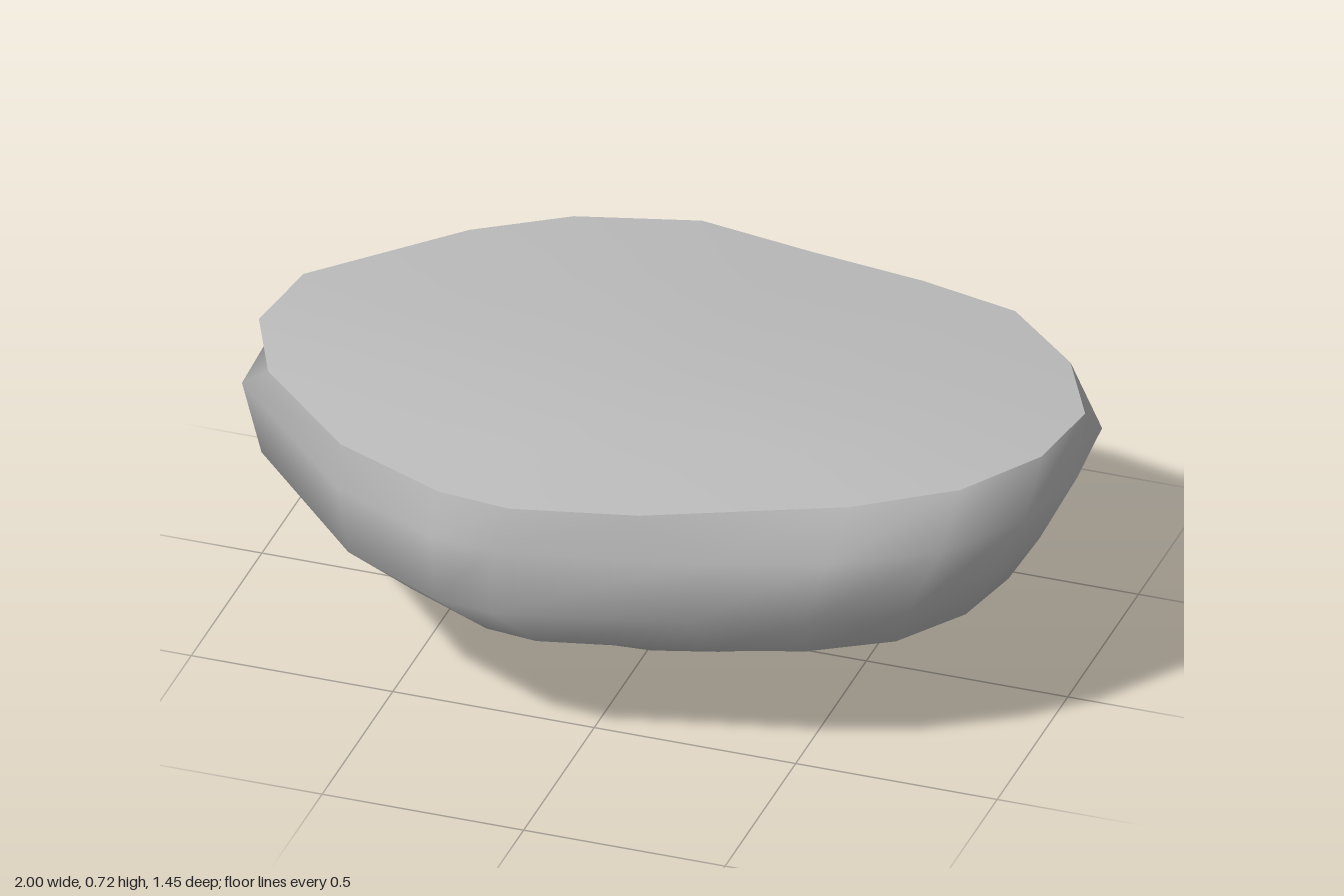
import * as THREE from 'three';

// Outlines as [x, z], running counter-clockwise seen from above
const RIM = [
  [0.98, -0.18], [0.87, -0.39], [0.67, -0.57], [0.42, -0.63], [0.13, -0.67], [-0.16, -0.72],
  [-0.45, -0.64], [-0.66, -0.5], [-0.96, -0.18], [-0.99, 0.05], [-0.89, 0.27], [-0.62, 0.53],
  [-0.33, 0.66], [-0.15, 0.68], [0.15, 0.61], [0.6, 0.41], [0.82, 0.25], [0.95, 0.04],
];
const GIRTH = [
  [1, -0.07], [0.98, -0.3], [0.81, -0.51], [0.55, -0.62], [0.29, -0.69], [-0.02, -0.733],
  [-0.31, -0.7], [-0.58, -0.58], [-0.92, -0.25], [-1, -0.06], [-0.99, 0.17], [-0.62, 0.55],
  [-0.34, 0.69], [-0.18, 0.71], [0.3, 0.6], [0.58, 0.51], [0.81, 0.37], [0.95, 0.16],
];

const atHeight = (outline, y) => outline.map(([x, z]) => [x, y, z]);

// Girth outline squeezed to the given x and z extents
function girthWithin(y, x0, x1, z0, z1) {
  return GIRTH.map(([x, z]) => [
    (x0 + x1) / 2 + x * (x1 - x0) / 2,
    y,
    (z0 + z1) / 2 + (z / 0.722) * (z1 - z0) / 2,
  ]);
}

// Smooth skin through rings listed from low to high, closed by an optional tip
function loft(rings, bottomTip, topTip) {
  const n = rings[0].length;
  const points = rings.flat();
  const index = [];
  for (let r = 0; r < rings.length - 1; r++) {
    for (let i = 0; i < n; i++) {
      const j = (i + 1) % n;
      const a = r * n + i, b = r * n + j, c = a + n, d = b + n;
      index.push(a, b, d, a, d, c);
    }
  }
  const last = (rings.length - 1) * n;
  if (bottomTip) {
    points.push(bottomTip);
    for (let i = 0; i < n; i++) index.push(points.length - 1, (i + 1) % n, i);
  }
  if (topTip) {
    points.push(topTip);
    for (let i = 0; i < n; i++) index.push(points.length - 1, last + i, last + (i + 1) % n);
  }
  const geometry = new THREE.BufferGeometry();
  geometry.setAttribute('position', new THREE.Float32BufferAttribute(points.flat(), 3));
  geometry.setIndex(index);
  geometry.computeVertexNormals();
  return geometry;
}

export function createModel() {
  const group = new THREE.Group();
  group.name = 'rock';
  const stone = new THREE.MeshStandardMaterial({ color: 0xbbbbbb });
  stone.name = 'grey stone';

  const add = (name, geometry) => {
    const mesh = new THREE.Mesh(geometry, stone);
    mesh.name = name;
    group.add(mesh);
  };

  // Rounded underside tapering to an off-centre point
  add('rockBody', loft([
    girthWithin(0.03, -0.02, 0.27, -0.2, 0.11),
    girthWithin(0.09, -0.2, 0.43, -0.34, 0.27),
    girthWithin(0.17, -0.52, 0.65, -0.46, 0.41),
    girthWithin(0.27, -0.77, 0.84, -0.57, 0.61),
    girthWithin(0.4, -0.94, 0.92, -0.66, 0.733),
    atHeight(GIRTH, 0.56),
    atHeight(RIM, 0.667),
  ], [0.19, 0, -0.05]));

  // Broad, slightly domed top
  const dome = (s, y) => RIM.map(([x, z]) => [0.03 * (1 - s) + x * s, y, 0.1 * (1 - s) + z * s]);
  add('rockTop', loft([
    atHeight(RIM, 0.667), dome(0.65, 0.698), dome(0.3, 0.713),
  ], null, [0.05, 0.72, 0.1]));

  return group;
}
